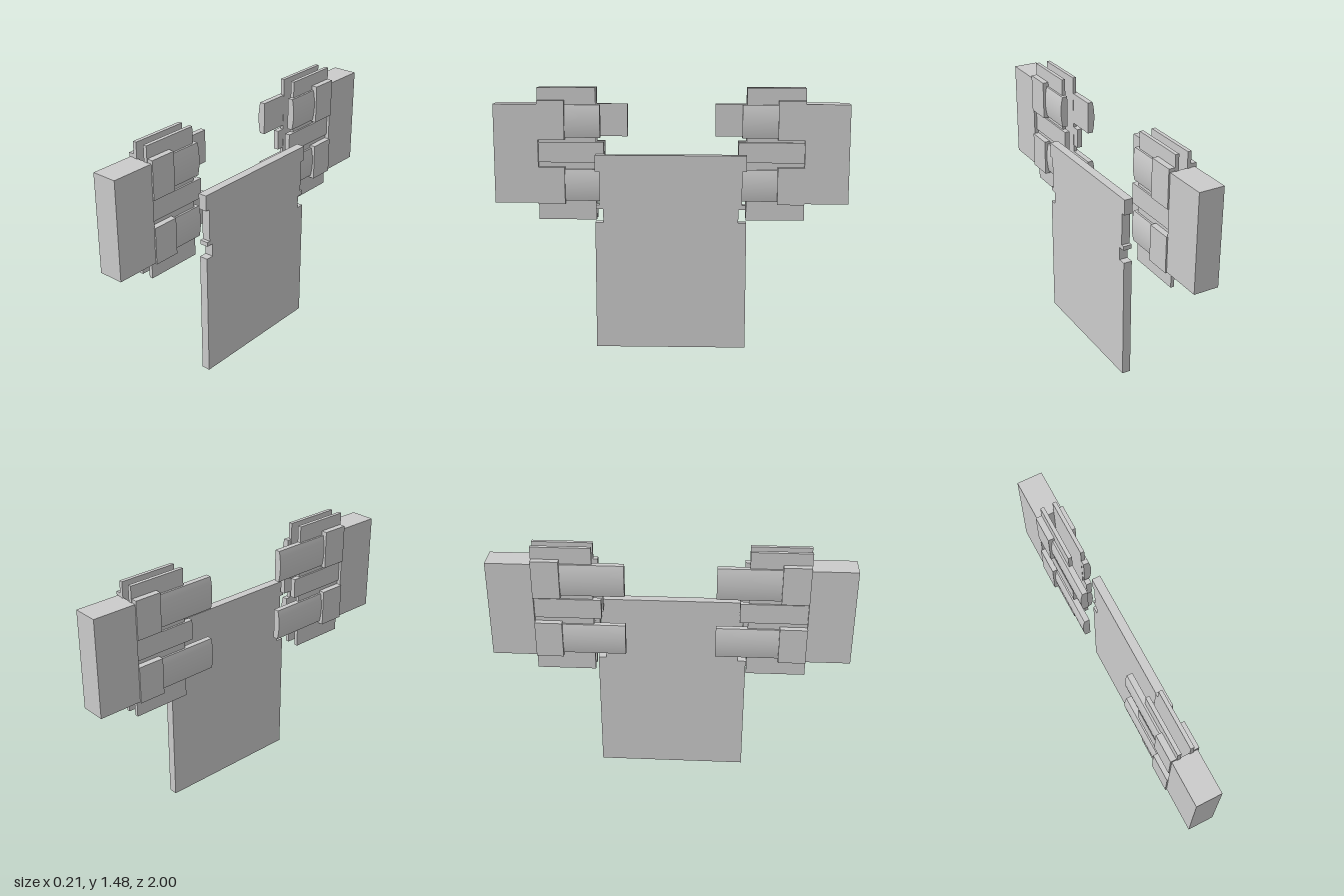
import * as THREE from 'three';
import { toCreasedNormals } from 'three/addons/utils/BufferGeometryUtils.js';

const material = new THREE.MeshStandardMaterial({ color: 0xcccccc });
const CX = -0.025; // middle plane of the two clamp assemblies

// Box given by its extents on each axis
function box(name, x0, x1, y0, y1, z0, z1) {
  const geo = new THREE.BoxGeometry(Math.abs(x1 - x0), y1 - y0, Math.abs(z1 - z0));
  const mesh = new THREE.Mesh(geo, material);
  mesh.name = name;
  mesh.position.set((x0 + x1) / 2, (y0 + y1) / 2, (z0 + z1) / 2);
  return mesh;
}

// Finger with a gently bulging outer face, running along z
function finger(side, y0, y1, z0, z1) {
  const inner = 0.026, edge = 0.057, bulge = 0.011;
  const shape = new THREE.Shape();
  shape.moveTo(CX + side * inner, y0);
  shape.lineTo(CX + side * edge, y0);
  shape.quadraticCurveTo(CX + side * (edge + 2 * bulge), (y0 + y1) / 2, CX + side * edge, y1);
  shape.lineTo(CX + side * inner, y1);
  shape.closePath();
  const geo = new THREE.ExtrudeGeometry(shape, {
    depth: Math.abs(z1 - z0), bevelEnabled: false, curveSegments: 12,
  });
  geo.translate(0, 0, Math.min(z0, z1));
  const mesh = new THREE.Mesh(toCreasedNormals(geo, 0.5), material);
  mesh.name = 'finger';
  return mesh;
}

// One clamp: end block, paired plates, rails, collars and fingers
function clamp(end) {
  const group = new THREE.Group();
  group.name = end > 0 ? 'frontClamp' : 'backClamp';
  group.add(box('endBlock', CX - 0.072, CX + 0.072, 0.83, 1.39, end * 0.75, end));
  for (const side of [-1, 1]) {
    const x = (d) => CX + side * d;
    group.add(box('sidePlate', x(0.025), x(0.046), 0.73, 1.48, end * 0.425, end * 0.755));
    group.add(box('middleRail', x(0.026), x(0.056), 1.06, 1.175, end * 0.38, end * 0.755));
    const reach = side > 0 ? 0.4 : 0.25; // outer fingers are longer
    for (const [c0, c1, f0, f1] of [[1.19, 1.41, 1.2, 1.385], [0.825, 1.035, 0.84, 1.02]]) {
      group.add(box('collar', x(0.026), x(0.08), c0, c1, end * 0.6, end * 0.752));
      group.add(finger(side, f0, f1, end * reach, end * 0.605));
    }
  }
  return group;
}

// Flat panel with stepped notches on both edges
function panel() {
  const half = [
    [0.425, 0], [0.425, 0.73], [0.38, 0.73], [0.38, 0.805], [0.42, 0.805],
    [0.42, 0.83], [0.4, 0.83], [0.4, 1.02], [0.425, 1.02], [0.425, 1.11],
  ];
  const outline = [...half, ...half.map(([z, y]) => [-z, y]).reverse()];
  const shape = new THREE.Shape(outline.map(([z, y]) => new THREE.Vector2(z, y)));
  const geo = new THREE.ExtrudeGeometry(shape, { depth: 0.05, bevelEnabled: false });
  geo.rotateY(Math.PI / 2);
  const mesh = new THREE.Mesh(geo, material);
  mesh.name = 'panel';
  mesh.position.x = 0.055;
  return mesh;
}

export function createModel() {
  const model = new THREE.Group();
  model.name = 'clampedPanel';
  model.add(panel(), clamp(1), clamp(-1));
  return model;
}
